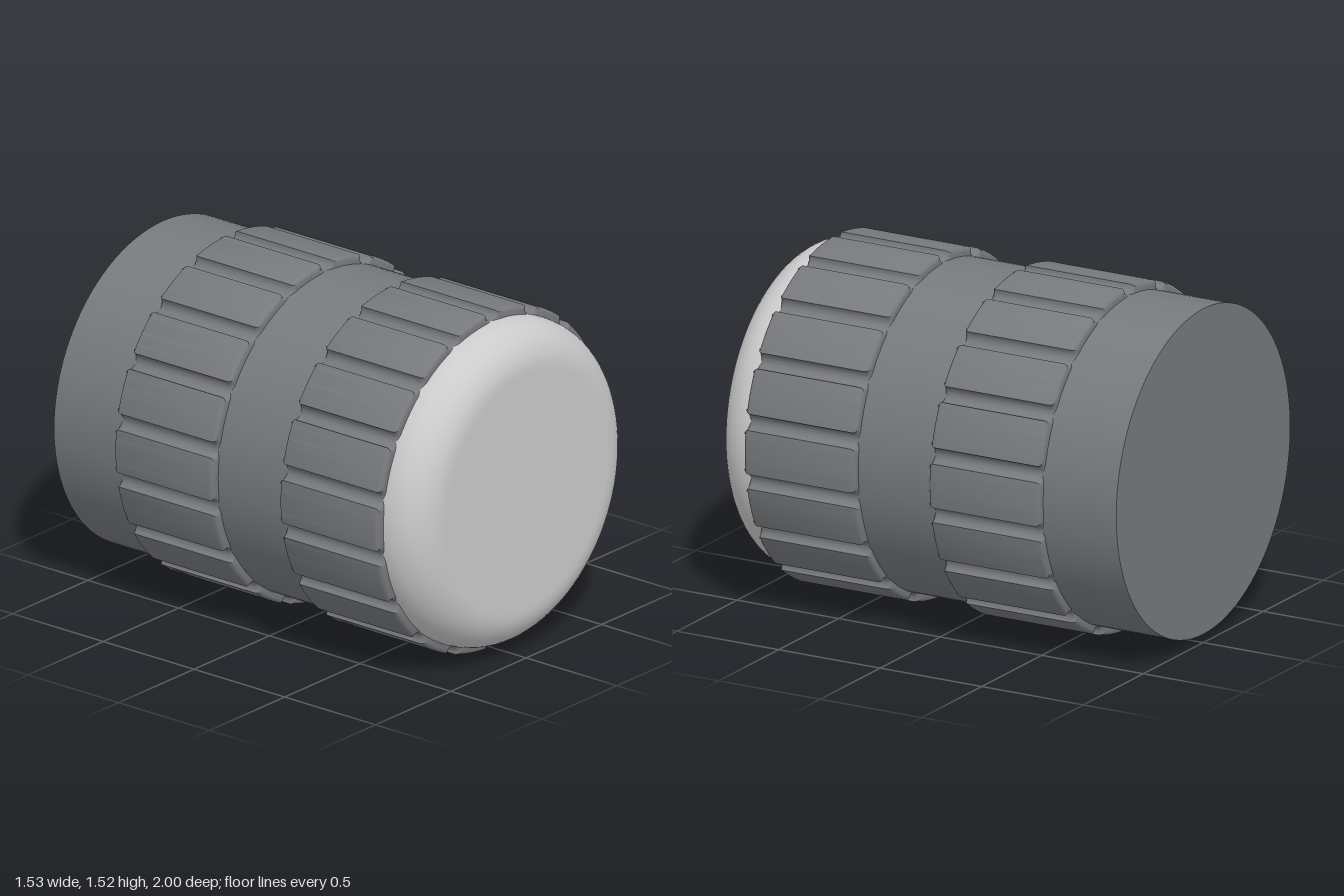
import * as THREE from 'three';
import { toCreasedNormals } from 'three/addons/utils/BufferGeometryUtils.js';

const BODY_R = 0.725, GRIP_R = 0.763, NOTCH_R = 0.035, NOTCHES = 18;

// Ring outline with round notches cut into its rim
function gripShape() {
  const shape = new THREE.Shape();
  const step = (Math.PI * 2) / NOTCHES;
  const half = 2 * Math.asin(NOTCH_R / (2 * GRIP_R));
  for (let i = 0; i < NOTCHES; i++) {
    const a = (i + 0.5) * step;
    const swing = Math.PI / 2 + half / 2;
    shape.absarc(GRIP_R * Math.cos(a), GRIP_R * Math.sin(a), NOTCH_R, a - swing, a + swing, true);
    shape.absarc(0, 0, GRIP_R, a + half, a + step - half, false);
  }
  shape.closePath();
  const hole = new THREE.Path();
  hole.absarc(0, 0, 0.66, 0, Math.PI * 2, true);
  shape.holes.push(hole);
  return shape;
}

export function createModel() {
  const model = new THREE.Group();
  model.name = 'knurledKnob';
  const dark = new THREE.MeshStandardMaterial({ color: 0x77797c });
  const light = new THREE.MeshStandardMaterial({ color: 0xcccccc });

  const add = (name, geometry, material) => {
    const mesh = new THREE.Mesh(geometry, material);
    mesh.name = name;
    mesh.position.y = GRIP_R;
    model.add(mesh);
  };

  // Cylindrical body along z
  const body = new THREE.CylinderGeometry(BODY_R, BODY_R, 1.8, 96);
  body.rotateX(Math.PI / 2).translate(0, 0, -0.1);
  add('body', body, dark);

  // Front cap with a rounded rim
  const fillet = 0.18;
  const profile = [new THREE.Vector2(BODY_R, 0.8)];
  for (let i = 0; i <= 12; i++) {
    const t = (i / 12) * Math.PI / 2;
    profile.push(new THREE.Vector2(BODY_R - fillet + fillet * Math.cos(t), 1 - fillet + fillet * Math.sin(t)));
  }
  profile.push(new THREE.Vector2(0.53, 1), new THREE.Vector2(0, 1));
  add('frontCap', new THREE.LatheGeometry(profile, 96).rotateX(Math.PI / 2), light);

  // Two notched grip bands with softened edges
  const bevel = 0.02, width = 0.545;
  const grip = toCreasedNormals(new THREE.ExtrudeGeometry(gripShape(), {
    depth: width - 2 * bevel, curveSegments: 10, bevelEnabled: true,
    bevelThickness: bevel, bevelSize: bevel, bevelOffset: -bevel, bevelSegments: 4,
  }), 0.6);
  for (const [name, back] of [['frontGrip', 0.27], ['rearGrip', -0.64]]) {
    add(name, grip.clone().translate(0, 0, back + bevel), dark);
  }
  return model;
}
